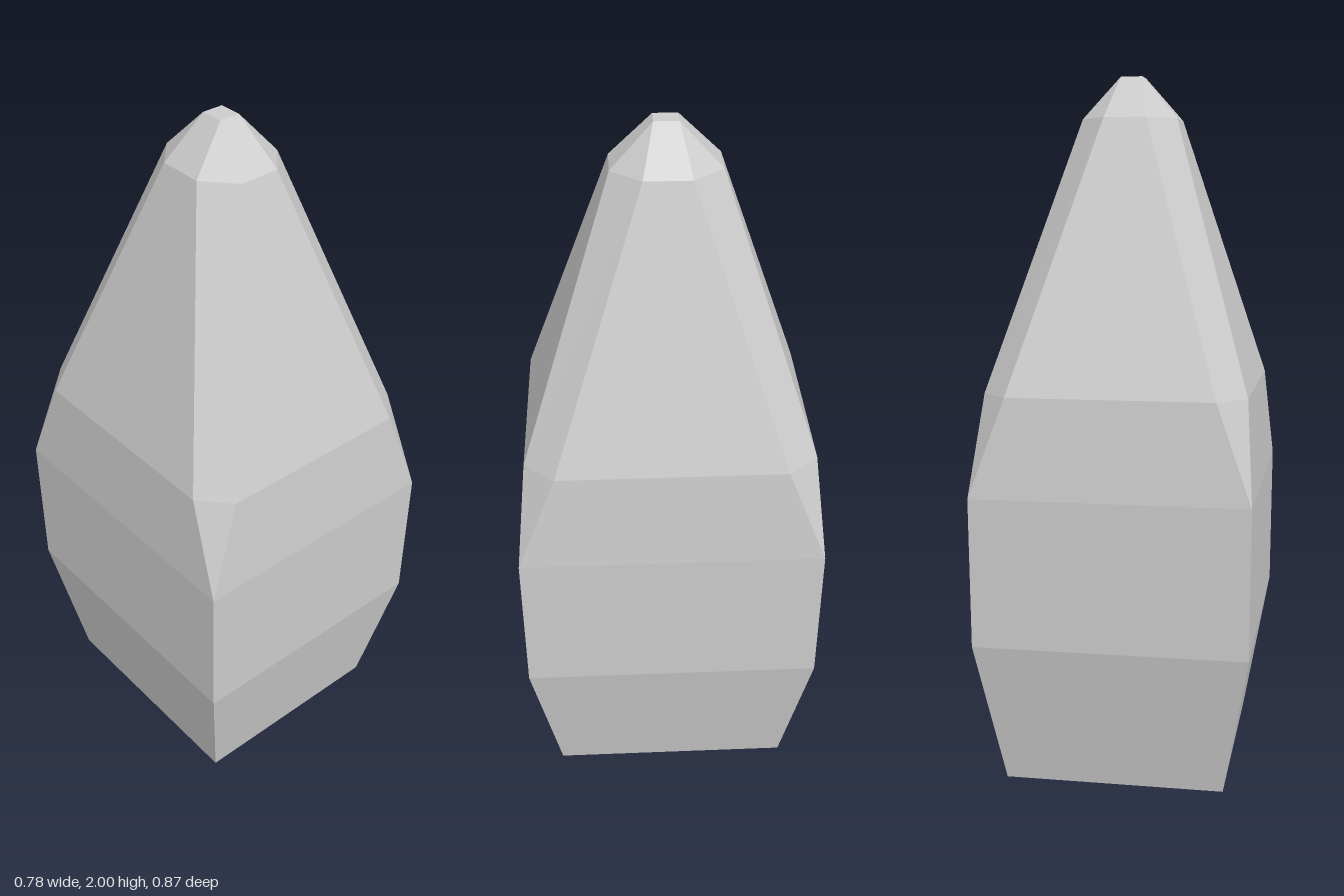
import * as THREE from 'three';

// Rings from base to tip: height, half width, half depth, and where each chamfer starts
const RINGS = [
  { y: 0, hx: 0.313, hz: 0.345, cx: 0.313, cz: 0.345 },
  { y: 0.415, hx: 0.388, hz: 0.428, cx: 0.388, cz: 0.428 },
  { y: 0.84, hx: 0.391, hz: 0.433, cx: 0.391, cz: 0.433 },
  { y: 1.12, hx: 0.368, hz: 0.407, cx: 0.29, cz: 0.322 },
  { y: 1.88, hx: 0.136, hz: 0.151, cx: 0.06, cz: 0.066 },
  { y: 2, hx: 0.031, hz: 0.034, cx: 0.031, cz: 0.034 },
];

// Eight corners of a chamfered rectangle, counterclockwise from above
function ringPoints({ y, hx, hz, cx, cz }) {
  return [[-cx, hz], [cx, hz], [hx, cz], [hx, -cz], [cx, -hz], [-cx, -hz], [-hx, -cz], [-hx, cz]]
    .map(([x, z]) => new THREE.Vector3(x, y, z));
}

function loftGeometry(rings) {
  const positions = [];
  const triangle = (a, b, c) => {
    // Chamfers of zero width collapse, so empty triangles are skipped
    if (new THREE.Triangle(a, b, c).getArea() < 1e-7) return;
    for (const p of [a, b, c]) positions.push(p.x, p.y, p.z);
  };
  const loops = rings.map(ringPoints);

  // Side faces
  for (let r = 0; r < loops.length - 1; r++) {
    for (let i = 0; i < 8; i++) {
      const j = (i + 1) % 8;
      triangle(loops[r][i], loops[r][j], loops[r + 1][j]);
      triangle(loops[r][i], loops[r + 1][j], loops[r + 1][i]);
    }
  }

  // Flat base and tip
  const base = loops[0], tip = loops[loops.length - 1];
  for (let i = 1; i < 7; i++) {
    triangle(base[0], base[i + 1], base[i]);
    triangle(tip[0], tip[i], tip[i + 1]);
  }

  const geometry = new THREE.BufferGeometry();
  geometry.setAttribute('position', new THREE.Float32BufferAttribute(positions, 3));
  geometry.computeVertexNormals();
  return geometry;
}

export function createModel() {
  const group = new THREE.Group();
  const material = new THREE.MeshStandardMaterial({ color: 0xcccccc, flatShading: true });
  const body = new THREE.Mesh(loftGeometry(RINGS), material);
  body.name = 'facetedSpireBody';
  group.add(body);
  return group;
}
